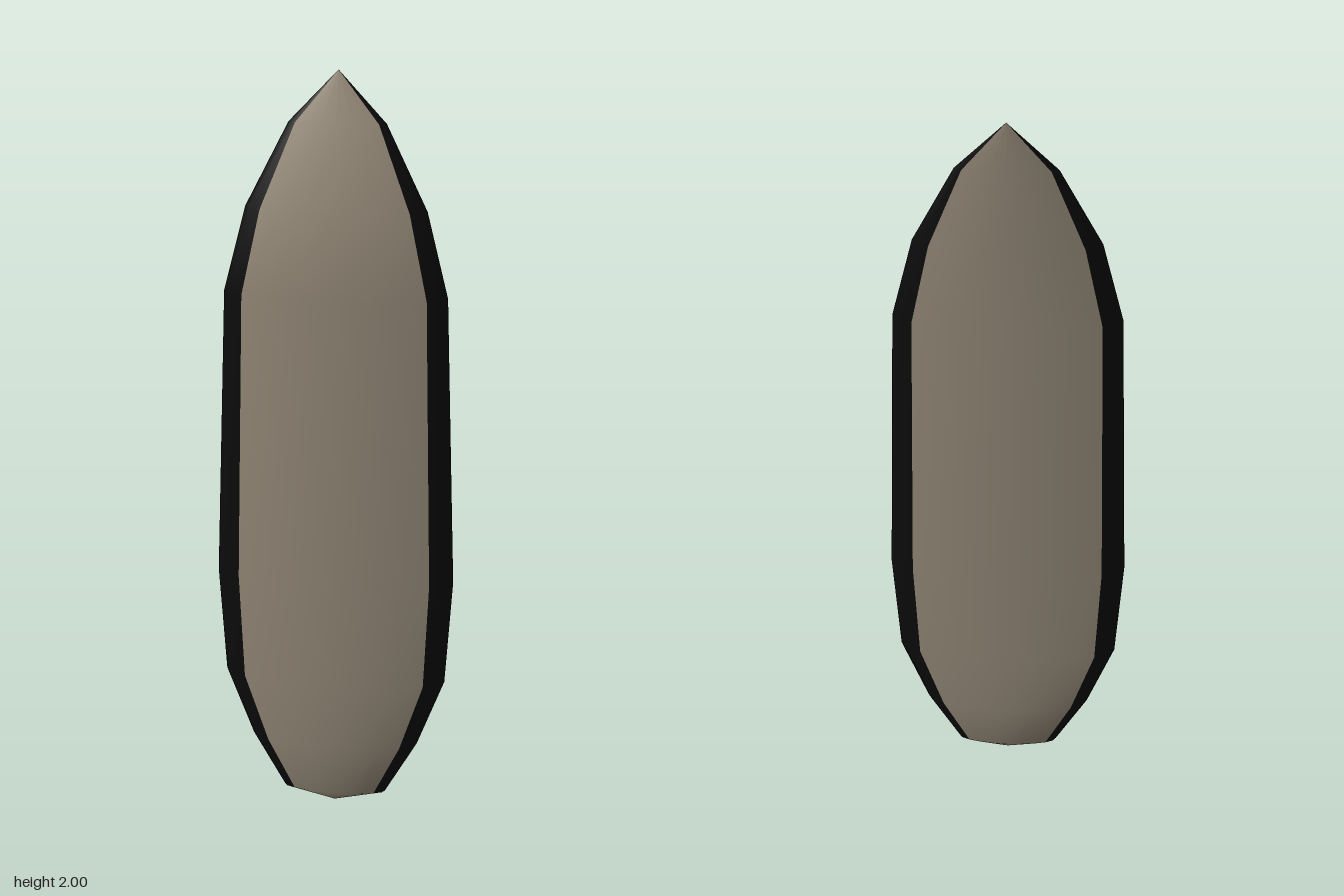
import * as THREE from 'three';

// Cross-sections from tail to nose:
// [y, outer half width, panel half width, deck crown z, deck edge z, rail z, bottom edge z, bottom crown z]
const SECTIONS = [
  [0.00, 0, 0, 0.005, 0.005, 0.005, 0.005, 0.005],
  [0.04, 0.14, 0.11, 0.036, 0.023, 0.005, -0.015, -0.028],
  [0.20, 0.225, 0.18, 0.057, 0.035, 0.003, -0.03, -0.05],
  [0.40, 0.295, 0.24, 0.064, 0.038, 0.002, -0.033, -0.053],
  [0.70, 0.31, 0.25, 0.063, 0.037, 0.001, -0.034, -0.055],
  [1.47, 0.275, 0.226, 0.055, 0.031, -0.003, -0.038, -0.06],
  [1.68, 0.22, 0.18, 0.038, 0.016, -0.014, -0.044, -0.064],
  [1.88, 0.117, 0.10, -0.022, -0.033, -0.045, -0.056, -0.065],
  [2.00, 0, 0, -0.065, -0.065, -0.065, -0.065, -0.065],
];
const ACROSS = [-1, -0.72, -0.38, 0, 0.38, 0.72, 1];

// Crowned panel row; side is 1 for the deck and -1 for the bottom
function panelRow([y, , inner, deckTop, deckEdge, , bottomEdge, bottomTop], side) {
  const edge = side > 0 ? deckEdge : bottomEdge;
  const crown = side > 0 ? deckTop : bottomTop;
  return ACROSS.map((u) => [side * u * inner, y, edge + (crown - edge) * (1 - u * u)]);
}

// Rounded rail row from deck edge around to bottom edge
function railRow([y, outer, inner, , front, mid, back], side) {
  const shoulder = outer - 0.25 * (outer - inner);
  const row = [
    [side * inner, y, front],
    [side * shoulder, y, mid + 0.55 * (front - mid)],
    [side * outer, y, mid],
    [side * shoulder, y, mid + 0.55 * (back - mid)],
    [side * inner, y, back],
  ];
  return side > 0 ? row : row.reverse();
}

// Surface through a stack of equal-length rows
function loft(name, rows, material) {
  const n = rows[0].length;
  const index = [];
  for (let i = 0; i < rows.length - 1; i++) {
    for (let j = 0; j < n - 1; j++) {
      const a = i * n + j, b = a + 1, c = a + n, d = c + 1;
      if (i < rows.length - 2) index.push(a, b, d, a, d, c);
      else index.push(a, b, c); // closes to the nose point
    }
  }
  const geometry = new THREE.BufferGeometry();
  geometry.setAttribute('position', new THREE.Float32BufferAttribute(rows.flat(2), 3));
  geometry.setIndex(index);
  geometry.computeVertexNormals();
  const mesh = new THREE.Mesh(geometry, material);
  mesh.name = name;
  return mesh;
}

export function createModel() {
  const panel = new THREE.MeshStandardMaterial({ color: 0xa09482 });
  const rail = new THREE.MeshStandardMaterial({ color: 0x0c0c0c });
  const board = new THREE.Group();
  board.name = 'surfboard';

  // Deck and bottom
  board.add(loft('deck', SECTIONS.map((s) => panelRow(s, 1)), panel));
  board.add(loft('bottom', SECTIONS.map((s) => panelRow(s, -1)), panel));

  // Dark rails on both sides
  for (const side of [1, -1]) {
    board.add(loft(side > 0 ? 'leftRail' : 'rightRail', SECTIONS.map((s) => railRow(s, side)), rail));
  }
  return board;
}
